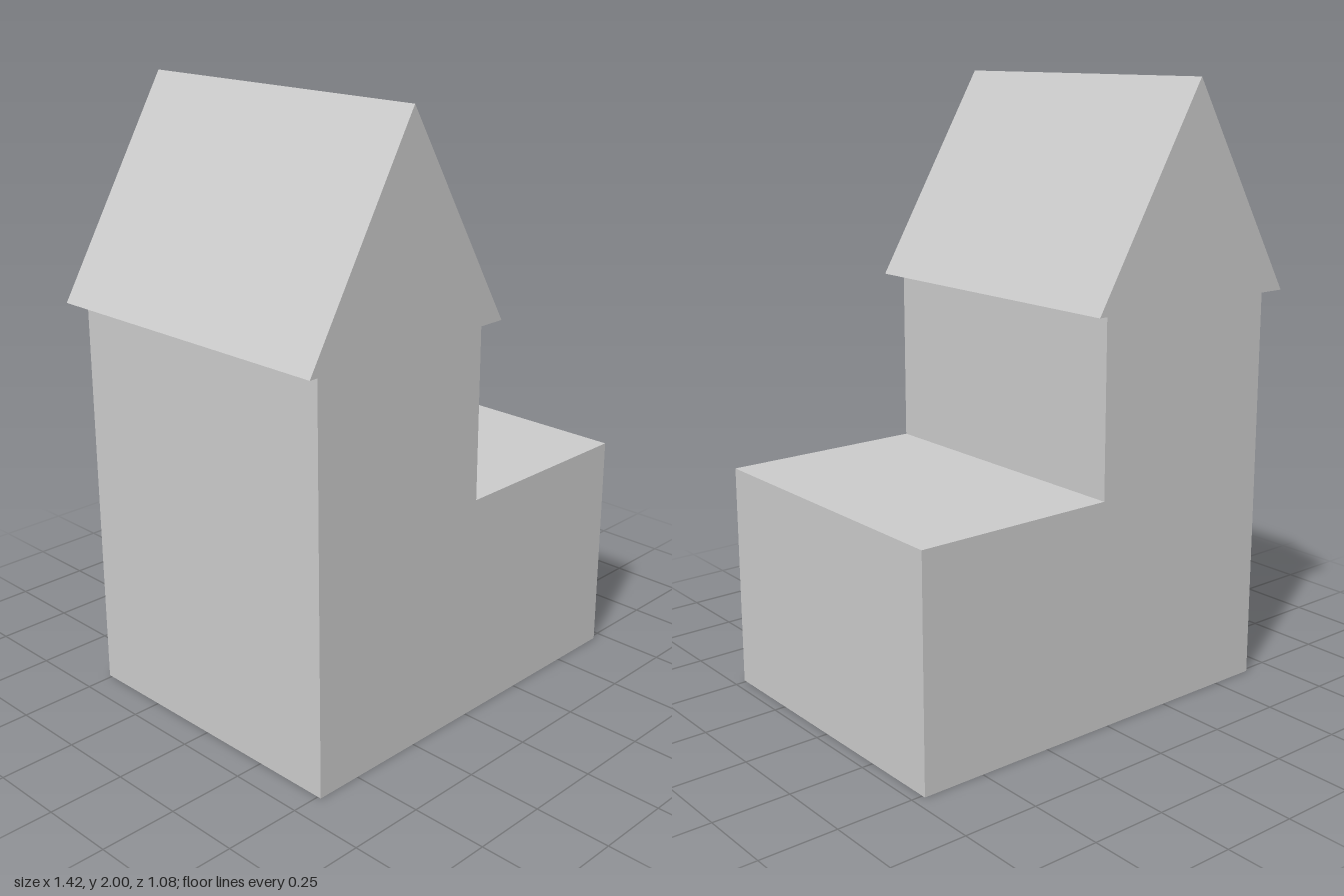
import * as THREE from 'three';

const material = new THREE.MeshStandardMaterial({ color: 0xcccccc, flatShading: true });

// Extrude an outline in x/y to a given depth, centred on z = 0
function prism(name, outline, depth) {
  const shape = new THREE.Shape(outline.map(([x, y]) => new THREE.Vector2(x, y)));
  const geometry = new THREE.ExtrudeGeometry(shape, { depth, bevelEnabled: false });
  geometry.translate(0, 0, -depth / 2);
  const mesh = new THREE.Mesh(geometry, material);
  mesh.name = name;
  return mesh;
}

export function createModel() {
  const group = new THREE.Group();
  group.name = 'house';

  const left = -0.655, step = 0.027, right = 0.712;
  const annexTop = 0.745, eaves = 1.32, ridge = 2;
  const ridgeX = (left + step) / 2, overhang = 0.398;

  // L-shaped walls: tall main block with a low flat-topped annex
  group.add(prism('walls', [
    [left, 0], [right, 0], [right, annexTop],
    [step, annexTop], [step, eaves], [left, eaves],
  ], 1.024));

  // Gabled roof, overhanging the main block on all sides
  group.add(prism('roof', [
    [ridgeX - overhang, eaves], [ridgeX + overhang, eaves], [ridgeX, ridge],
  ], 1.084));

  return group;
}
